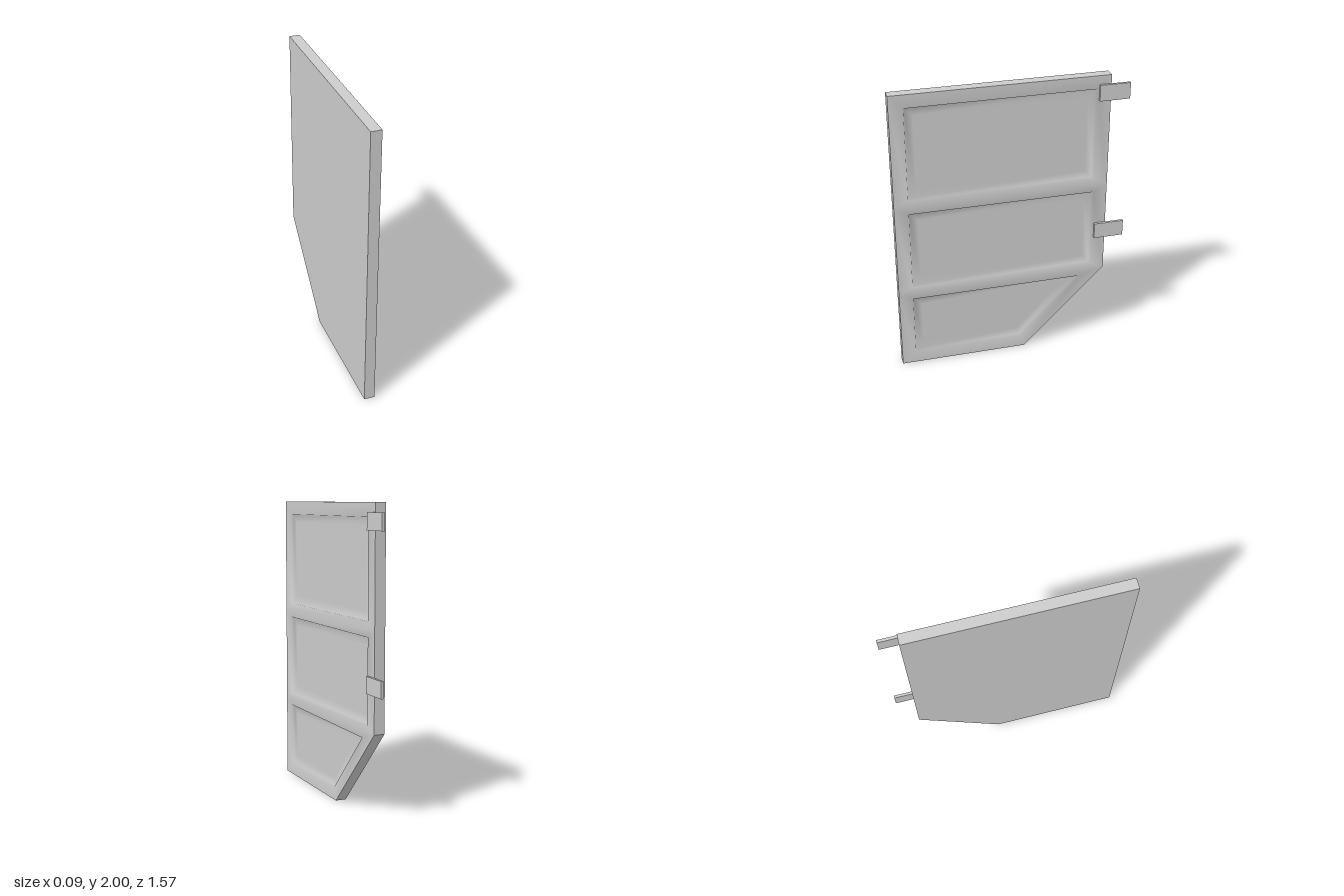
import * as THREE from 'three';

const BACK = -0.045, FACE = 0.027, DEPTH = 0.02;

// Outline and cell corners are [u, y] with u = -z, counter-clockwise seen from +x.
const OUTLINE = [[-0.785, 0], [0.09, 0], [0.66, 0.57], [0.66, 2], [-0.785, 2]];
const CELLS = [
  { name: 'lowerPanel',
    outer: [[-0.785, 0], [0.09, 0], [0.66, 0.57], [-0.785, 0.57]],
    rim: [[-0.69, 0.085], [0.06, 0.085], [0.49, 0.52], [-0.69, 0.52]] },
  { name: 'middlePanel',
    outer: [[-0.785, 0.57], [0.66, 0.57], [0.66, 1.22], [-0.785, 1.22]],
    rim: [[-0.69, 0.61], [0.565, 0.61], [0.565, 1.17], [-0.69, 1.17]] },
  { name: 'upperPanel',
    outer: [[-0.785, 1.22], [0.66, 1.22], [0.66, 2], [-0.785, 2]],
    rim: [[-0.69, 1.27], [0.565, 1.27], [0.565, 1.91], [-0.69, 1.91]] },
];

function makeGeometry(positions, index) {
  const g = new THREE.BufferGeometry();
  g.setAttribute('position', new THREE.Float32BufferAttribute(positions, 3));
  g.setIndex(index);
  g.computeVertexNormals();
  return g;
}

// Move a convex loop inwards by a fixed distance
function inset(loop, d) {
  const n = loop.length;
  const normal = (a, b) => {
    const dx = b[0] - a[0], dy = b[1] - a[1], l = Math.hypot(dx, dy);
    return [-dy / l, dx / l];
  };
  return loop.map((p, i) => {
    const a = normal(loop[(i + n - 1) % n], p), b = normal(p, loop[(i + 1) % n]);
    const k = d / (1 + a[0] * b[0] + a[1] * b[1]);
    return [p[0] + (a[0] + b[0]) * k, p[1] + (a[1] + b[1]) * k];
  });
}

// Frame, soft recess wall and floor of one cell, as nested loops
function recessGeometry({ outer, rim }) {
  const low = FACE - DEPTH;
  const loops = [[outer, FACE], [rim, FACE], [inset(rim, 0.008), low], [inset(rim, 0.06), low]];
  const positions = [], index = [];
  loops.forEach(([loop, x]) => loop.forEach(([u, y]) => positions.push(x, y, -u)));
  for (let k = 0; k < loops.length - 1; k++) {
    for (let i = 0; i < 4; i++) {
      const j = (i + 1) % 4, a = k * 4 + i, b = k * 4 + j;
      index.push(a, b, b + 4, a, b + 4, a + 4);
    }
  }
  index.push(12, 13, 14, 12, 14, 15);
  return makeGeometry(positions, index);
}

// Edge strips around the outline, each with its own corners so they stay sharp
function edgeGeometry() {
  const positions = [], index = [];
  OUTLINE.forEach(([u, y], i) => {
    const [v, w] = OUTLINE[(i + 1) % OUTLINE.length], o = i * 4;
    positions.push(BACK, y, -u, BACK, w, -v, FACE, w, -v, FACE, y, -u);
    index.push(o, o + 1, o + 2, o, o + 2, o + 3);
  });
  return makeGeometry(positions, index);
}

// Flat back, a fan facing -x
function backGeometry() {
  const positions = OUTLINE.flatMap(([u, y]) => [BACK, y, -u]);
  const index = [];
  for (let i = 1; i < OUTLINE.length - 1; i++) index.push(0, i + 1, i);
  return makeGeometry(positions, index);
}

export function createModel() {
  const model = new THREE.Group();
  model.name = 'panelDoor';
  const grey = new THREE.MeshStandardMaterial({ color: 0xcccccc });
  grey.name = 'light grey';

  const add = (name, geometry) => {
    const mesh = new THREE.Mesh(geometry, grey);
    mesh.name = name;
    model.add(mesh);
    return mesh;
  };

  // Door leaf
  add('doorEdges', edgeGeometry());
  add('doorBack', backGeometry());
  CELLS.forEach((cell) => add(cell.name, recessGeometry(cell)));

  // Hinge straps on the panelled face
  [['lowerHinge', 0.875], ['upperHinge', 1.885]].forEach(([name, y]) => {
    add(name, new THREE.BoxGeometry(0.018, 0.11, 0.205)).position.set(0.036, y, -0.6825);
  });
  return model;
}
